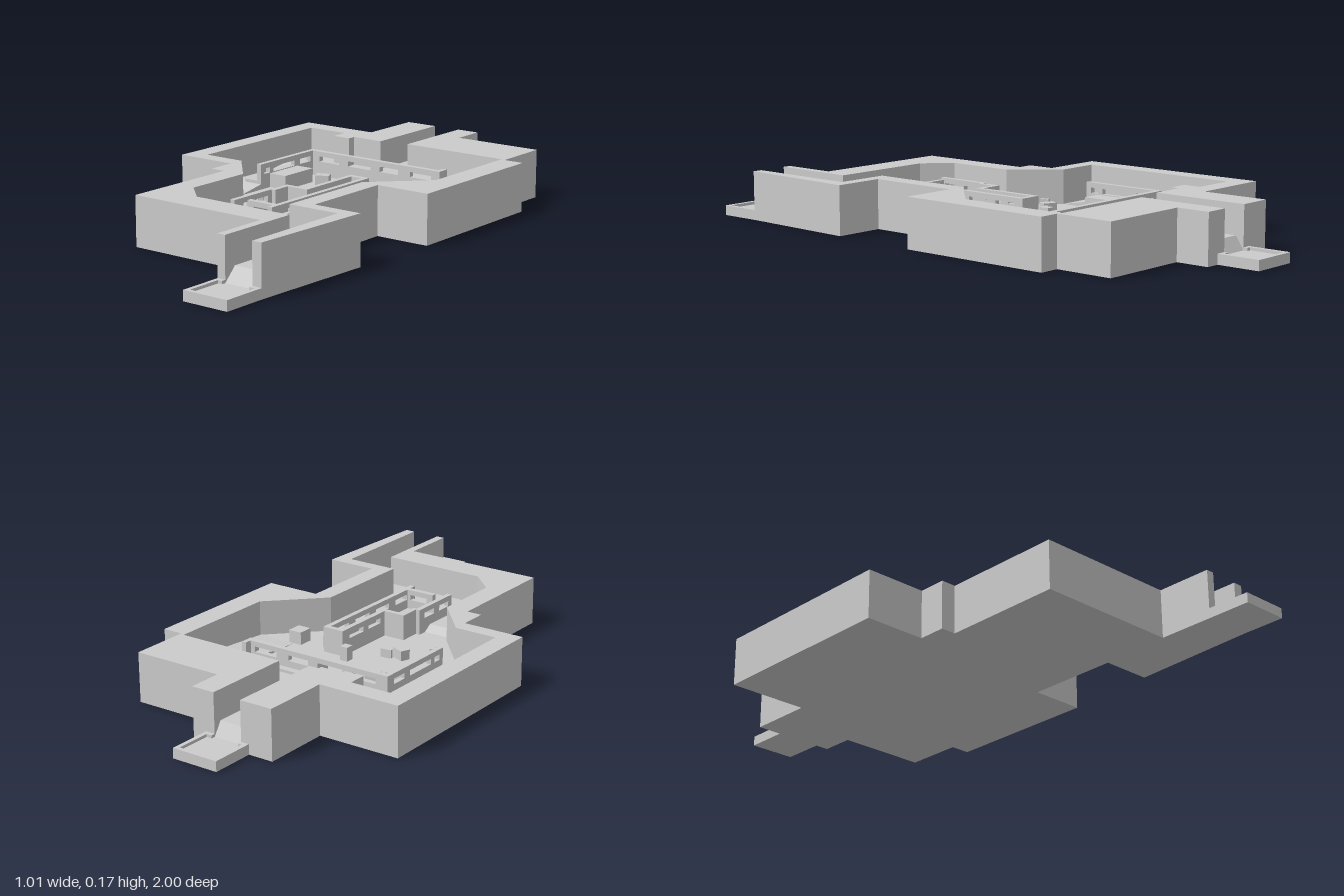
import * as THREE from 'three';

const material = new THREE.MeshStandardMaterial({ color: 0xcccccc, flatShading: true });
const H = 0.173, RIM = 0.035, PAD = 0.025, LOW = 0.05, HIGH = 0.07, TOP = 0.14;

export function createModel() {
  const root = new THREE.Group();

  const add = (name, geometry) => {
    const mesh = new THREE.Mesh(geometry, material);
    mesh.name = name;
    root.add(mesh);
    return mesh;
  };
  const extrude = (shape, depth) => new THREE.ExtrudeGeometry(shape, { depth, bevelEnabled: false });

  // Vertical prism over a plan outline given as [x, z]
  const slab = (name, points, y0, y1) => {
    const shape = new THREE.Shape(points.map(([x, z]) => new THREE.Vector2(x, -z)));
    return add(name, extrude(shape, y1 - y0).rotateX(-Math.PI / 2).translate(0, y0, 0));
  };
  const box = (name, x0, x1, z0, z1, y0, y1) =>
    add(name, new THREE.BoxGeometry(x1 - x0, y1 - y0, z1 - z0)
      .translate((x0 + x1) / 2, (y0 + y1) / 2, (z0 + z1) / 2));

  // Ground strip whose height runs from ya at z0 to yb at z1
  const ramp = (name, x0, x1, z0, z1, ya, yb) => {
    const shape = new THREE.Shape([[z0, 0.01], [z1, 0.01], [z1, yb], [z0, ya]]
      .map(p => new THREE.Vector2(...p)));
    return add(name, extrude(shape, x1 - x0).rotateY(-Math.PI / 2).translate(x1, 0, 0));
  };

  // Thin wall along x or z, pierced by long slots
  const slotWall = (name, axis, a, b, at, thick, slots = []) => {
    const rect = (P, u0, u1, v0, v1) => new P([[u0, v0], [u1, v0], [u1, v1], [u0, v1]]
      .map(p => new THREE.Vector2(...p)));
    const shape = rect(THREE.Shape, a, b, 0.03, TOP);
    slots.forEach(([u0, u1]) => shape.holes.push(rect(THREE.Path, u0, u1, 0.103, 0.122)));
    const g = extrude(shape, thick);
    if (axis === 'z') g.rotateY(-Math.PI / 2).translate(at + thick, 0, 0);
    else g.translate(0, 0, at);
    return add(name, g);
  };

  // Perimeter: inner and outer edges of each side
  const westOuter = [[-0.21, -0.845], [-0.21, -0.605], [-0.505, -0.605], [-0.505, 0.11], [-0.28, 0.11],
    [-0.28, 0.21], [-0.225, 0.21], [-0.225, 0.645], [0.295, 0.645], [0.295, 0.845]];
  const westInner = [[0.325, 0.845], [0.325, 0.54], [-0.055, 0.54], [-0.145, 0.455], [-0.145, 0.205],
    [-0.28, 0.055], [-0.435, 0.055], [-0.435, -0.535], [-0.28, -0.535], [-0.28, -0.47], [-0.21, -0.47],
    [-0.21, -0.5], [-0.09, -0.5], [-0.09, -0.845]];
  const eastOuter = [[0.465, 0.845], [0.485, 0.39], [0.305, 0.39], [0.305, 0.055], [0.503, 0.055],
    [0.503, -0.515], [0.43, -0.515], [0.43, -0.725], [0.10, -0.725], [0.10, -0.845]];
  const eastInner = [[0.015, -0.845], [0.015, -0.52], [0.415, -0.52], [0.415, -0.12], [0.24, 0.055],
    [0.24, 0.435], [0.43, 0.435], [0.43, 0.845]];
  slab('westPerimeter', [...westOuter, ...westInner], 0, H);
  slab('eastPerimeter', [...eastOuter, ...eastInner], 0, H);
  slab('baseFloor', [...westOuter, ...eastOuter], 0, PAD);

  // Courtyard floor
  slab('courtyardFloor', [[-0.44, -0.4], [0.43, -0.4], [0.43, -0.12], [0.26, 0.055], [0.26, 0.3],
    [-0.16, 0.3], [-0.16, 0.2], [-0.28, 0.07], [-0.44, 0.07]], 0.01, LOW);

  // Raised ground and the slopes that join it
  box('northGround', -0.45, 0.42, -0.54, -0.39, 0.01, HIGH);
  box('northCorridorFloor', -0.1, 0.025, -0.815, -0.5, 0.01, HIGH);
  ramp('northExitRamp', -0.1, 0.025, -0.845, -0.815, PAD, HIGH);
  box('southGround', -0.16, 0.26, 0.265, 0.56, 0.01, HIGH);
  box('southGroundEast', 0.2, 0.44, 0.425, 0.56, 0.01, HIGH);
  box('southCorridorFloor', 0.31, 0.44, 0.5, 0.8, 0.01, HIGH);
  ramp('southExitRamp', 0.31, 0.44, 0.8, 0.845, HIGH, PAD);
  ramp('southRamp', -0.16, -0.035, 0.235, 0.265, LOW, HIGH);
  ramp('eastSouthSlope', 0.14, 0.25, 0, 0.265, LOW, HIGH);
  ramp('eastNorthSlope', 0.27, 0.42, -0.39, -0.12, HIGH, LOW);
  ramp('doorwaySlope', 0.05, 0.14, -0.345, -0.265, HIGH, LOW);
  ramp('westRampNorth', -0.44, -0.4, -0.39, -0.255, HIGH, LOW);
  ramp('westRampSouth', -0.44, -0.4, -0.205, -0.055, LOW, HIGH);
  box('westLedgeNorth', -0.4, -0.35, -0.39, -0.255, 0.01, HIGH);
  box('westLedgeSouth', -0.4, -0.35, -0.205, -0.055, 0.01, HIGH);
  ramp('westSouthSlope', -0.44, -0.28, -0.055, 0.06, HIGH, LOW);

  // Low-rimmed pads outside both exits
  const pad = (name, x0, x1, zOut, zIn, g0, g1) => {
    const t = 0.015, s = Math.sign(zOut - zIn);
    const span = (n, a, b, za, zb, y1) => box(n, a, b, Math.min(za, zb), Math.max(za, zb), 0, y1);
    span(name + 'Floor', x0, x1, zOut, zIn, PAD);
    span(name + 'EndRim', x0, x1, zOut, zOut - s * t, RIM);
    span(name + 'SideRimWest', x0, x0 + t, zOut, zIn, RIM);
    span(name + 'SideRimEast', x1 - t, x1, zOut, zIn, RIM);
    span(name + 'InnerRimWest', x0, g0, zIn + s * t, zIn, RIM);
    span(name + 'InnerRimEast', g1, x1, zIn + s * t, zIn, RIM);
  };
  pad('northPad', -0.12, 0.05, -1, -0.845, -0.09, 0.015);
  pad('southPad', 0.295, 0.465, 1, 0.845, 0.325, 0.43);

  // L-shaped slotted wall with its ledge
  box('longLedge', -0.35, 0.27, -0.39, -0.36, 0.01, 0.08);
  box('sideLedge', -0.35, -0.29, -0.39, -0.05, 0.01, 0.08);
  slotWall('longWall', 'x', -0.298, 0.275, -0.365, 0.02,
    [[-0.25, -0.16], [-0.12, -0.02], [0.02, 0.1], [0.15, 0.24]]);
  slotWall('sideWall', 'z', -0.365, -0.05, -0.298, 0.018, [[-0.33, -0.27], [-0.24, -0.12], [-0.1, -0.07]]);
  box('longWallEnd', 0.258, 0.275, -0.39, -0.345, 0.03, TOP);
  box('sideRoom', -0.28, -0.21, -0.255, -0.1, 0.03, 0.1);

  // Narrow central building
  slotWall('centreEastWall', 'z', -0.12, 0.4, 0.122, 0.018,
    [[-0.08, 0.0], [0.04, 0.12], [0.16, 0.24], [0.28, 0.35]]);
  slotWall('centreWestWall', 'z', -0.12, 0.143, 0.06, 0.018, [[-0.08, 0.0], [0.03, 0.1]]);
  slotWall('centreNorthWall', 'x', 0.06, 0.14, -0.12, 0.018);
  slotWall('centreStepWall', 'x', -0.02, 0.078, 0.125, 0.018);
  slotWall('centreRearWall', 'z', 0.125, 0.21, -0.02, 0.018);
  slotWall('centreSouthWestWall', 'z', 0.2, 0.4, -0.035, 0.018, [[0.23, 0.29], [0.32, 0.38]]);
  slotWall('centreSouthWall', 'x', 0.015, 0.14, 0.355, 0.018, [[0.04, 0.11]]);
  ramp('centreEntryRamp', 0.015, 0.14, 0.373, 0.4, HIGH, 0.09);

  // Scattered crates and barriers: x, z, width, depth, height, turn
  [
    [-0.16, -0.25, 0.05, 0.035, 0.035, 0.4], [0.063, -0.245, 0.05, 0.035, 0.035, -0.4],
    [0.033, -0.137, 0.03, 0.03, 0.05, 0], [0.153, -0.065, 0.035, 0.035, 0.04, 0],
    [0.265, -0.09, 0.05, 0.055, 0.045, 0], [-0.11, -0.018, 0.05, 0.035, 0.035, -0.4],
    [-0.065, -0.04, 0.04, 0.012, 0.03, 0.1], [-0.185, 0.06, 0.018, 0.03, 0.03, 0.45],
    [0.23, -0.325, 0.015, 0.035, 0.04, 0],
  ].forEach(([x, z, w, d, h, turn], i) => {
    const crate = add('crate' + (i + 1), new THREE.BoxGeometry(w, h + 0.02, d));
    crate.position.set(x, LOW + h / 2 - 0.01, z);
    crate.rotation.y = turn;
  });

  return root;
}
